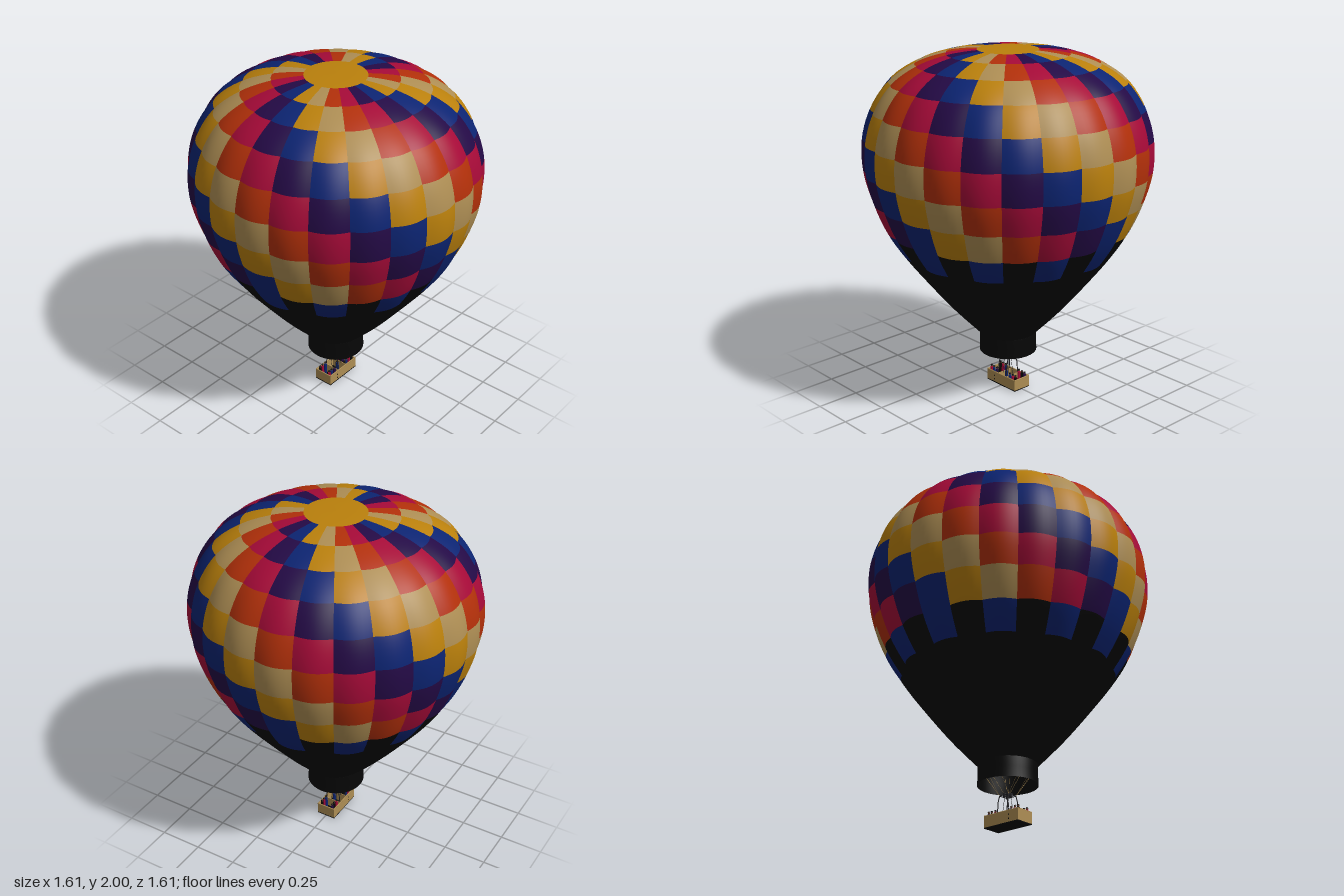
import * as THREE from 'three';

const mat = (name, color, side = THREE.FrontSide) => {
  const m = new THREE.MeshStandardMaterial({ color, side });
  m.name = name;
  return m;
};

export function createModel() {
  const D = THREE.DoubleSide;
  const blue = mat('blue fabric', 0x0c2472, D);
  const yellow = mat('yellow fabric', 0xba800c, D);
  const cream = mat('cream fabric', 0xae8e54, D);
  const orange = mat('orange fabric', 0xb2300a, D);
  const crimson = mat('crimson fabric', 0xa60a38, D);
  const purple = mat('purple fabric', 0x240a46, D);
  const black = mat('black fabric', 0x060606, D);
  const wicker = mat('wicker', 0xae8e54);
  const metal = mat('dark metal', 0x222226);
  const skin = mat('skin', 0x704632);

  const model = new THREE.Group();
  model.name = 'hotAirBalloon';
  const add = (parent, name, geometry, material, x = 0, y = 0, z = 0) => {
    const mesh = new THREE.Mesh(geometry, material);
    mesh.name = name;
    mesh.position.set(x, y, z);
    parent.add(mesh);
    return mesh;
  };
  const rod = (parent, name, a, b, radius, material) => {
    const from = new THREE.Vector3(...a), to = new THREE.Vector3(...b);
    const dir = to.clone().sub(from);
    const mesh = add(parent, name, new THREE.CylinderGeometry(radius, radius, dir.length(), 6), material);
    mesh.position.copy(from).add(to).multiplyScalar(0.5);
    mesh.quaternion.setFromUnitVectors(new THREE.Vector3(0, 1, 0), dir.normalize());
  };

  // Envelope: bulging gores; each profile span is one ring of panels, crown first
  const profile = new THREE.CatmullRomCurve3([
    [0, 2], [0.17, 1.995], [0.34, 1.974], [0.506, 1.92], [0.648, 1.825], [0.747, 1.68],
    [0.796, 1.515], [0.797, 1.34], [0.757, 1.175], [0.69, 1.01], [0.6, 0.865],
    [0.468, 0.69], [0.338, 0.53], [0.25, 0.433], [0.163, 0.343],
  ].map(([r, y]) => new THREE.Vector3(r, y, 0)));
  const spans = 14, steps = 5, across = 8, gores = 24;
  const cycle = [blue, yellow, cream, orange, crimson, purple];
  const panelColour = (span, gore) => {
    if (span === 0) return yellow;
    if (span <= 8) return cycle[(gore + 8 - span) % 6];
    return span === 9 && gore % 2 === 0 ? blue : black;
  };
  const fabrics = [...cycle, black];
  const envelope = new THREE.Group();
  envelope.name = 'envelope';
  model.add(envelope);
  for (let g = 0; g < gores; g++) {
    const geo = new THREE.PlaneGeometry(1, 1, across, spans * steps);
    const pos = geo.attributes.position;
    for (let i = 0; i < pos.count; i++) {
      const u = pos.getX(i) + 0.5, t = 0.5 - pos.getY(i);
      const p = profile.getPoint(t);
      const angle = ((g + u) / gores) * Math.PI * 2;
      // The bulge fades out towards the crown and the mouth
      const bulge = 0.022 * Math.sin(Math.PI * t);
      const r = p.x * (1 + bulge * (Math.sin(Math.PI * u) - 0.4));
      pos.setXYZ(i, Math.sin(angle) * r, p.y, Math.cos(angle) * r);
    }
    geo.computeVertexNormals();
    geo.clearGroups();
    const count = across * steps * 6;
    for (let s = 0; s < spans; s++) geo.addGroup(s * count, count, fabrics.indexOf(panelColour(s, g)));
    add(envelope, 'gore', geo, fabrics);
  }

  // Skirt around the mouth
  const skirt = [[0.167, 0.228], [0.164, 0.29], [0.165, 0.343], [0.161, 0.35]];
  add(model, 'skirt', new THREE.LatheGeometry(skirt.map(([r, y]) => new THREE.Vector2(r, y)), 48), black);

  // Basket: walls, rim, floor and partitions
  const basket = new THREE.Group();
  basket.name = 'basket';
  model.add(basket);
  const W = 0.058, L = 0.12, H = 0.068;
  add(basket, 'floor', new THREE.BoxGeometry(2 * W, 0.006, 2 * L), black, 0, 0.003, 0);
  for (const s of [-1, 1]) {
    add(basket, 'sideWall', new THREE.BoxGeometry(0.006, H - 0.004, 2 * L), wicker, s * (W - 0.003), H / 2 + 0.002, 0);
    add(basket, 'endWall', new THREE.BoxGeometry(2 * W - 0.012, H - 0.004, 0.006), wicker, 0, H / 2 + 0.002, s * (L - 0.003));
    rod(basket, 'sideRim', [s * (W - 0.003), H, -L], [s * (W - 0.003), H, L], 0.004, wicker);
    rod(basket, 'endRim', [-W, H, s * (L - 0.003)], [W, H, s * (L - 0.003)], 0.004, wicker);
    add(basket, 'partition', new THREE.BoxGeometry(2 * W - 0.012, H - 0.008, 0.004), wicker, 0, H / 2, s * 0.036);
    // Foot holes in the side walls
    for (const y of [0.022, 0.045]) {
      add(basket, 'footHole', new THREE.BoxGeometry(0.002, 0.007, 0.006), black, s * W, y, 0.055);
    }
  }

  // Passengers in the end compartments, pilot in the middle
  const clothes = [crimson, blue, purple, black];
  const person = (x, z, i) => {
    const body = new THREE.Group();
    body.name = 'passenger';
    body.position.set(x, 0, z);
    add(body, 'torso', new THREE.CylinderGeometry(0.008, 0.011, 0.074, 8), clothes[i % 4], 0, 0.043, 0);
    add(body, 'head', new THREE.SphereGeometry(0.0065, 10, 8), skin, 0, 0.088, 0);
    add(body, 'hair', new THREE.SphereGeometry(0.007, 10, 5, 0, Math.PI * 2, 0, Math.PI / 2), black, 0, 0.089, 0);
    basket.add(body);
  };
  let n = 0;
  for (const s of [-1, 1]) {
    for (const z of [0.056, 0.082, 0.104]) {
      for (const x of [-0.036, 0.036]) person(x, s * z, n++);
      n++;
    }
  }
  person(0.012, 0, 1);

  // Burner frame on four posts
  const burner = new THREE.Group();
  burner.name = 'burnerAssembly';
  model.add(burner);
  const top = 0.17, fx = 0.03, fz = 0.032;
  for (const s of [-1, 1]) {
    rod(burner, 'frameSide', [s * fx, top, -fz], [s * fx, top, fz], 0.0025, metal);
    rod(burner, 'frameEnd', [-fx, top, s * fz], [fx, top, s * fz], 0.0025, metal);
    for (const t of [-1, 1]) {
      // Posts lean in from the rim, with a bend below the frame
      rod(burner, 'post', [s * 0.046, H, t * 0.034], [s * 0.04, 0.14, t * 0.033], 0.0028, metal);
      rod(burner, 'postTop', [s * 0.04, 0.14, t * 0.033], [s * fx, top, t * fz], 0.0028, metal);
      // Burner can with its fuel hose
      add(burner, 'burnerCan', new THREE.CylinderGeometry(0.01, 0.009, 0.018, 12), metal, s * 0.012, 0.175, t * 0.012);
      rod(burner, 'fuelHose', [s * 0.012, 0.166, t * 0.012], [s * 0.016, 0.06, t * 0.026], 0.0012, metal);
      // Suspension cables fanning out to the mouth inside the skirt
      for (const a of [0.3, 0.8, 1.27]) {
        rod(burner, 'cable', [s * fx, top, t * fz],
          [s * 0.161 * Math.cos(a), 0.335, t * 0.161 * Math.sin(a)], 0.0007, wicker);
      }
    }
  }
  return model;
}
